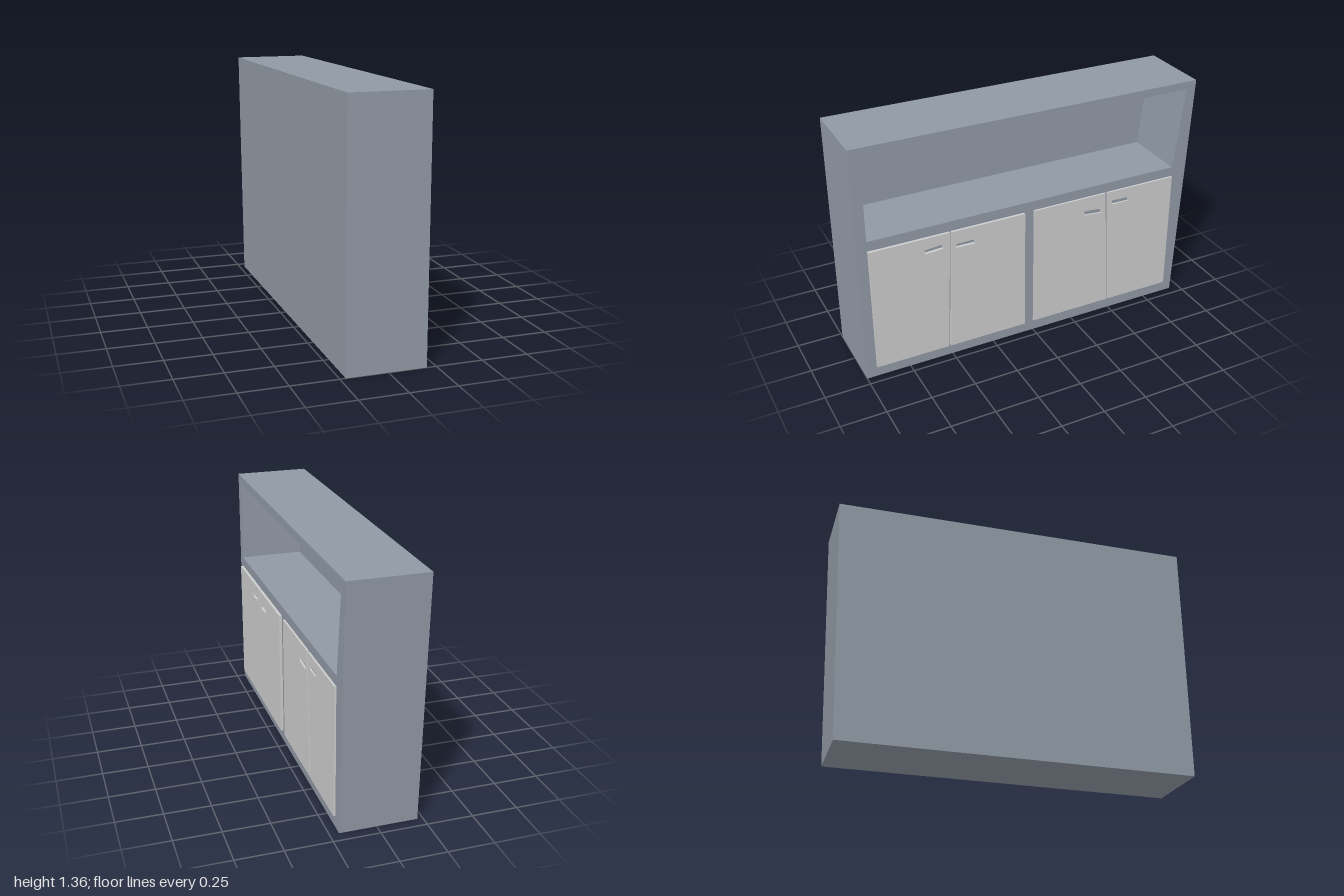
import * as THREE from 'three';

const paint = new THREE.MeshStandardMaterial({ color: 0x9099a4, flatShading: true });
const grey = new THREE.MeshStandardMaterial({ color: 0xcccccc, flatShading: true });

const points = (list) => list.map(([z, y]) => new THREE.Vector2(-z, y));

// Slab with a [z, y] outline and optional hole, spanning x0 to x1
function slab(name, outline, hole, x0, x1, material) {
  const shape = new THREE.Shape(points(outline));
  if (hole) shape.holes.push(new THREE.Path(points(hole)));
  const geometry = new THREE.ExtrudeGeometry(shape, { depth: x1 - x0, bevelEnabled: false });
  geometry.rotateY(Math.PI / 2).translate(x0, 0, 0);
  const mesh = new THREE.Mesh(geometry, material);
  mesh.name = name;
  return mesh;
}

export function createModel() {
  const model = new THREE.Group();
  model.name = 'sideboard';
  const back = -0.22, nicheBack = -0.17, face = 0.2;

  // Carcass: the skewed case with an open shelf, closed by a back panel
  const outline = [[1, 0], [-0.94, 0], [-1, 1.35], [1, 1.36]];
  const niche = [[0.942, 0.84], [-0.886, 0.84], [-0.942, 1.306], [0.942, 1.31]];
  const carcass = new THREE.Group();
  carcass.name = 'carcass';
  carcass.add(
    slab('caseWithShelf', outline, niche, nicheBack, face, paint),
    slab('backPanel', outline, null, back, nicheBack, paint)
  );
  model.add(carcass);

  // Doors: edges as [bottom z, top z], plus the cut-out finger slot
  const bottom = 0.067, top = 0.784;
  const doors = [
    { a: [0.942, 0.942], b: [0.525, 0.497], front: 0.216,
      slot: [[0.64, 0.693], [0.538, 0.699], [0.538, 0.725], [0.64, 0.717]] },
    { a: [0.514, 0.487], b: [0.059, 0.059], front: 0.216,
      slot: [[0.463, 0.683], [0.356, 0.683], [0.356, 0.707], [0.463, 0.707]] },
    { a: [0, 0], b: [-0.482, -0.443], front: 0.211,
      slot: [[-0.31, 0.677], [-0.418, 0.667], [-0.418, 0.693], [-0.31, 0.704]] },
    { a: [-0.493, -0.455], b: [-0.883, -0.883], front: 0.211,
      slot: [[-0.487, 0.703], [-0.594, 0.701], [-0.594, 0.725], [-0.487, 0.728]] }
  ];
  doors.forEach(({ a, b, front, slot }, i) => {
    const edge = [[a[0], bottom], [b[0], bottom], [b[1], top], [a[1], top]];
    model.add(slab(`door${i + 1}`, edge, slot, face, front, grey));
  });
  return model;
}
